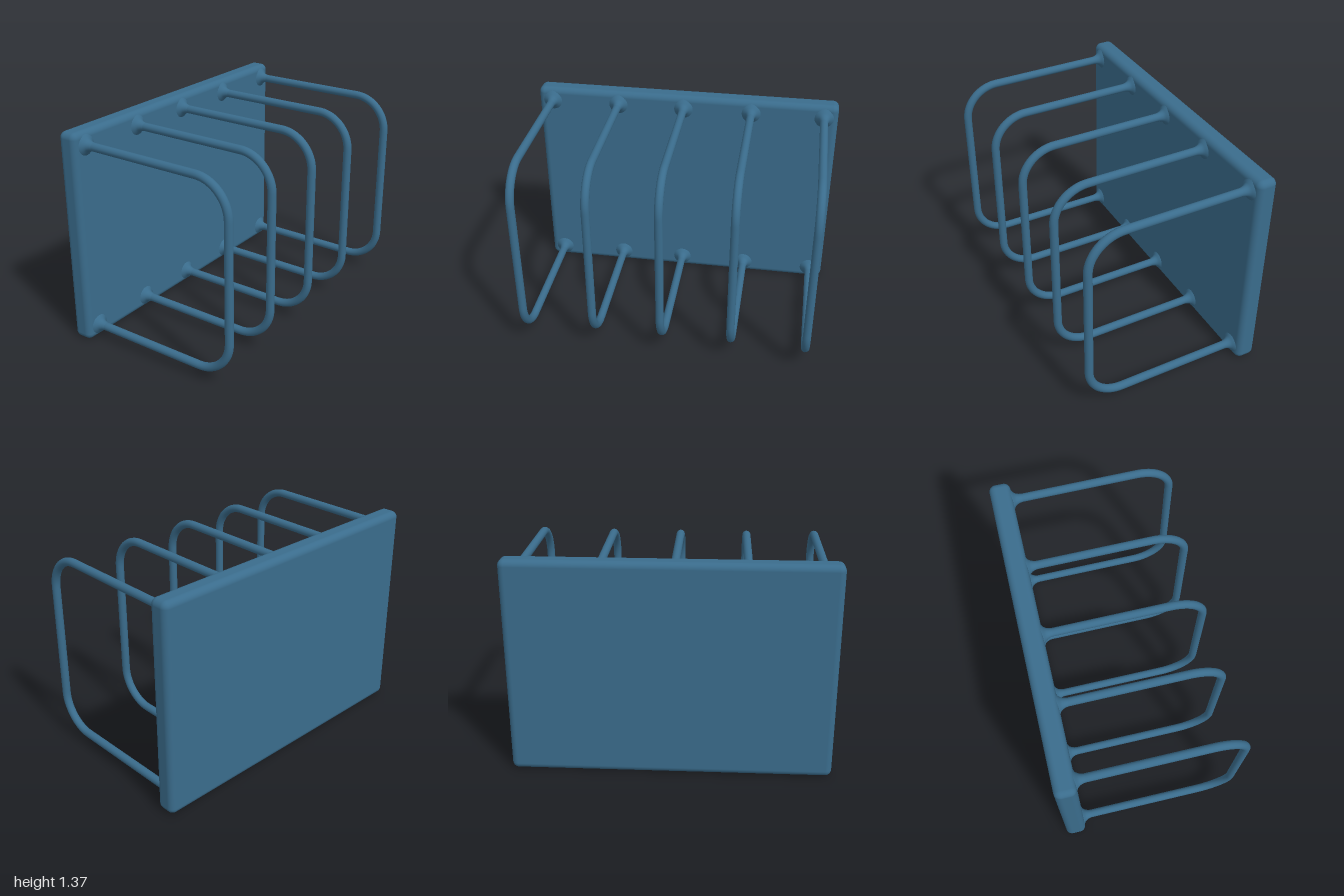
import * as THREE from 'three';
import { RoundedBoxGeometry } from 'three/addons/geometries/RoundedBoxGeometry.js';

const TOP = 1.295, BOTTOM = 0.1, ROD = 0.026, PLATE_FRONT = -0.457;

// U-shaped loop in the y-z plane, running from the plate out to zFront and back
function loopPath(zFront) {
  const r = 0.22, k = r * 0.45;
  const p = (y, z) => new THREE.Vector3(0, y, z);
  const path = new THREE.CurvePath();
  path.add(new THREE.LineCurve3(p(TOP, -0.5), p(TOP, zFront - r)));
  path.add(new THREE.CubicBezierCurve3(
    p(TOP, zFront - r), p(TOP, zFront - k), p(TOP - k, zFront), p(TOP - r, zFront)));
  path.add(new THREE.LineCurve3(p(TOP - r, zFront), p(BOTTOM + r, zFront)));
  path.add(new THREE.CubicBezierCurve3(
    p(BOTTOM + r, zFront), p(BOTTOM + k, zFront), p(BOTTOM, zFront - k), p(BOTTOM, zFront - r)));
  path.add(new THREE.LineCurve3(p(BOTTOM, zFront - r), p(BOTTOM, -0.5)));
  return path;
}

// Flared collar blending a rod into the plate
function collarGeometry() {
  const profile = [[0.075, -0.015], [0.062, 0.002], [0.045, 0.012], [0.034, 0.027], [0.028, 0.045], [0.025, 0.065]]
    .map(([r, h]) => new THREE.Vector2(r, h));
  return new THREE.LatheGeometry(profile, 20).rotateX(Math.PI / 2);
}

export function createModel() {
  const group = new THREE.Group();
  group.name = 'wallRack';
  const material = new THREE.MeshStandardMaterial({ color: 0x3a6c8c });

  // Back plate with softly rounded edges
  const plate = new THREE.Mesh(new RoundedBoxGeometry(1.99, 1.365, 0.13, 5, 0.04), material);
  plate.name = 'backPlate';
  plate.position.set(0, 0.698, -0.52);
  group.add(plate);

  // Five wire loops; the outer two reach slightly further forward
  const collar = collarGeometry();
  const loops = [[-0.9, 0.556], [-0.452, 0.535], [-0.015, 0.535], [0.432, 0.535], [0.905, 0.556]];
  loops.forEach(([x, zFront], i) => {
    const loop = new THREE.Group();
    loop.name = `wireLoop${i + 1}`;
    loop.position.x = x;
    const rod = new THREE.Mesh(new THREE.TubeGeometry(loopPath(zFront), 160, ROD, 14), material);
    rod.name = 'rod';
    loop.add(rod);
    for (const [name, y] of [['upperCollar', TOP], ['lowerCollar', BOTTOM]]) {
      const mesh = new THREE.Mesh(collar, material);
      mesh.name = name;
      mesh.position.set(0, y, PLATE_FRONT);
      loop.add(mesh);
    }
    group.add(loop);
  });
  return group;
}
